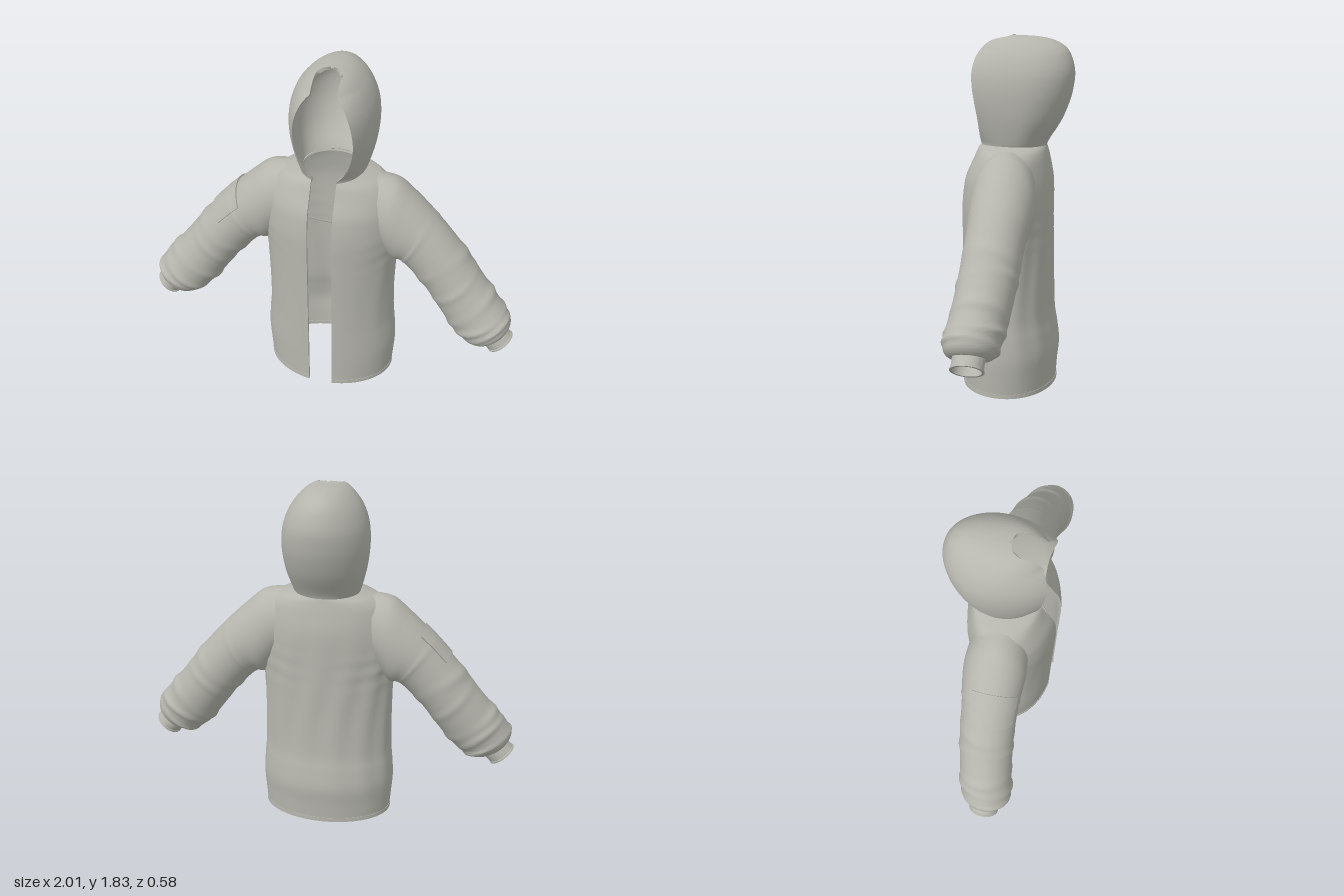
import * as THREE from 'three';
import { toCreasedNormals } from 'three/addons/utils/BufferGeometryUtils.js';

const cloth = new THREE.MeshStandardMaterial({ color: 0xb6b6ae, side: THREE.DoubleSide });
cloth.name = 'greyCloth';

// Smooth interpolation through rows of numbers, u from 0 to 1
function sample(rows, u) {
  const s = u * (rows.length - 1);
  const i = Math.min(Math.floor(s), rows.length - 2);
  const f = s - i;
  const at = (k) => rows[Math.max(0, Math.min(rows.length - 1, k))];
  const [p, a, b, n] = [at(i - 1), at(i), at(i + 1), at(i + 2)];
  return a.map((v, k) => v + 0.5 * f * (b[k] - p[k]
    + f * (2 * p[k] - 5 * v + 4 * b[k] - n[k] + f * (3 * (v - b[k]) + n[k] - p[k]))));
}

// Skin a list of point loops
function loft(rings, { closed = true, flip = false, crease = 0.8 } = {}) {
  const n = rings[0].length;
  const index = [];
  for (let i = 0; i < rings.length - 1; i++) {
    for (let j = 0; j < (closed ? n : n - 1); j++) {
      const k = (j + 1) % n;
      const [a, b, c, d] = [i * n + j, i * n + k, (i + 1) * n + k, (i + 1) * n + j];
      if (flip) index.push(a, c, b, a, d, c);
      else index.push(a, b, c, a, c, d);
    }
  }
  const geo = new THREE.BufferGeometry();
  geo.setAttribute('position', new THREE.Float32BufferAttribute(rings.flat(2), 3));
  geo.setIndex(index);
  return toCreasedNormals(geo, crease);
}

function addMesh(parent, name, geo) {
  const mesh = new THREE.Mesh(geo, cloth);
  mesh.name = name;
  parent.add(mesh);
  return mesh;
}

const bump = (x, centre, width) => Math.exp(-(((x - centre) / width) ** 2));

// Half width of the front opening: a straight gap below, an oval for the face
function gap(y) {
  const q = 1 - ((y - 1.52) / 0.26) ** 2;
  return Math.max(0.065, q > 0 ? 0.15 * Math.sqrt(q) : 0);
}

// Loop round the body: outer face one way, lining back the other way
function shellRing([y, rx, ze, zb, zm], thick, fold = () => 0, drop = 0) {
  const N = 72;
  const layer = (t) => {
    const r = Math.max(rx - t, rx * 0.6);
    const w = Math.min(gap(y), r * 0.9);
    const a0 = Math.asin(w / r);
    const front = (ze - zm) / Math.cos(Math.asin(Math.min(0.9, gap(y) / rx))) - t;
    const back = Math.max(zm - zb - t, (zm - zb) * 0.6);
    return Array.from({ length: N + 1 }, (_, j) => {
      const a = a0 + (j / N) * 2 * (Math.PI - a0);
      const c = Math.cos(a);
      const f = 1 + fold(a, y) * Math.sin((Math.PI * j) / N);
      return [r * Math.sin(a) * f, y - (t > 0 ? drop : 0), zm + c * (c > 0 ? front : back) * f];
    });
  };
  return [...layer(0), ...layer(thick).reverse()];
}

// y, half width, front edge z, back z, middle z
const BODY = [
  [0, 0.345, 0.285, -0.2, 0.03], [0.1, 0.354, 0.285, -0.207, 0.03], [0.2, 0.36, 0.285, -0.216, 0.03],
  [0.3, 0.354, 0.285, -0.205, 0.03], [0.4, 0.345, 0.285, -0.19, 0.03], [0.6, 0.343, 0.285, -0.184, 0.03],
  [0.8, 0.348, 0.286, -0.184, 0.03], [0.95, 0.358, 0.286, -0.185, 0.03], [1.05, 0.352, 0.277, -0.185, 0.03],
  [1.12, 0.34, 0.262, -0.18, 0.03], [1.2, 0.31, 0.225, -0.165, 0.02], [1.245, 0.265, 0.205, -0.155, 0.02],
  [1.265, 0.205, 0.195, -0.15, 0.02], [1.275, 0.165, 0.185, -0.145, 0.02],
];
const HOOD = [
  [1.262, 0.165, 0.183, -0.145, 0], [1.3, 0.18, 0.185, -0.162, -0.01], [1.4, 0.206, 0.19, -0.225, -0.03],
  [1.5, 0.219, 0.205, -0.267, -0.04], [1.58, 0.219, 0.217, -0.286, -0.04], [1.65, 0.207, 0.22, -0.291, -0.035],
  [1.72, 0.178, 0.205, -0.275, -0.02], [1.77, 0.141, 0.175, -0.245, 0], [1.805, 0.1, 0.125, -0.185, 0.02],
  [1.823, 0.055, 0.05, -0.1, 0.03], [1.829, 0.01, 0.032, 0.01, 0.03],
];

// Vertical folds, strongest at the back, plus drag lines from the armpits
function bodyFold(a, y) {
  const hang = bump(y, 0.6, 0.4);
  const back = 0.5 - 0.5 * Math.cos(a);
  const drag = Math.abs(Math.sin(a)) * bump(y, 0.87, 0.1) * Math.sin(y * 70 + Math.abs(Math.cos(a)) * 5);
  return hang * (0.006 + 0.012 * back) * Math.sin(a * 13 + 2 * Math.sin(y * 4)) + 0.012 * drag;
}

// Upper edge x, y; lower edge x, y; middle z; half depth
const SLEEVE = [
  [0.24, 1.262, 0.27, 0.87, 0.025, 0.15], [0.34, 1.243, 0.31, 0.81, 0.025, 0.16],
  [0.425, 1.175, 0.34, 0.785, 0.025, 0.16], [0.52, 1.085, 0.375, 0.785, 0.027, 0.152],
  [0.62, 0.98, 0.42, 0.75, 0.033, 0.145], [0.72, 0.86, 0.5, 0.665, 0.04, 0.142],
  [0.8, 0.755, 0.57, 0.57, 0.05, 0.14], [0.88, 0.655, 0.645, 0.47, 0.065, 0.138],
  [0.95, 0.57, 0.715, 0.395, 0.08, 0.135], [0.984, 0.505, 0.78, 0.355, 0.088, 0.122],
  [0.972, 0.455, 0.83, 0.362, 0.09, 0.09], [0.95, 0.455, 0.842, 0.37, 0.09, 0.075],
];
const FOLDS = [[0.3, 0.012, 0.004], [0.44, 0.02, 0.007], [0.52, 0.016, 0.006],
  [0.64, 0.02, 0.01], [0.71, 0.018, 0.011], [0.78, 0.018, 0.012]];

function sleevePoint(side, u, a, lift = 0) {
  const [ux, uy, lx, ly, z, h] = sample(SLEEVE, u);
  const r = Math.hypot(ux - lx, uy - ly) / 2;
  let out = lift;
  for (const [c, w, size] of FOLDS) {
    out += size * bump(u + 0.015 * Math.sin(a + c * 40 + side), c, w) * (0.6 + 0.4 * Math.cos(a * 2 + c * 30));
  }
  const c = Math.cos(a) * (1 + out / r);
  return [side * ((ux + lx) / 2 + (c * (ux - lx)) / 2), (uy + ly) / 2 + (c * (uy - ly)) / 2,
    z + Math.sin(a) * (h + out)];
}

function makeSleeve(side, name) {
  const group = new THREE.Group();
  group.name = name;
  const flip = side < 0;
  const circle = (n, f) => Array.from({ length: n }, (_, j) => f((j / n) * Math.PI * 2));
  const rings = Array.from({ length: 111 }, (_, i) => circle(48, (a) => sleevePoint(side, i / 110, a)));
  addMesh(group, name + 'Cloth', loft(rings, { flip, crease: 1.2 }));

  // Cuff: outside, lip, then lining
  const axis = [0.048, -0.048];
  const cuff = [[0, 0.073], [0.85, 0.073], [0.88, 0.077], [1, 0.077], [1, 0.066], [-0.3, 0.064]];
  addMesh(group, name + 'Cuff', loft(cuff.map(([s, r]) => circle(40, (a) => [
    side * (0.896 + s * axis[0] + r * 0.77 * Math.cos(a)),
    0.412 + s * axis[1] + r * 0.64 * Math.cos(a),
    0.09 + r * 1.04 * Math.sin(a),
  ])), { flip, crease: 0.6 }));
  return group;
}

export function createModel() {
  const jacket = new THREE.Group();
  jacket.name = 'hoodedJacket';

  // Body
  const bodyRings = Array.from({ length: 91 }, (_, i) => shellRing(sample(BODY, i / 90), 0.014, bodyFold));
  addMesh(jacket, 'body', loft(bodyRings));

  // Hem band, closed underneath and above
  const hemRow = (y) => [y, 0.349, 0.288, -0.204, 0.03];
  addMesh(jacket, 'hem', loft([[0, 0.0001], [0, 0.02], [0.022, 0.02], [0.022, 0.0001]]
    .map(([y, t]) => shellRing(hemRow(y), t))));

  // Hood
  const hoodRings = Array.from({ length: 71 }, (_, i) => {
    const row = sample(HOOD, i / 70);
    const drop = 0.014 * THREE.MathUtils.smoothstep(row[0], 1.6, 1.8);
    return shellRing(row, 0.016, undefined, drop);
  });
  addMesh(jacket, 'hood', loft(hoodRings));

  // Sleeves
  jacket.add(makeSleeve(1, 'leftSleeve'), makeSleeve(-1, 'rightSleeve'));

  // Pocket on the right upper arm, raised with turned-in edges
  const pocketRings = [];
  for (let i = 0; i <= 14; i++) {
    const u = 0.262 + 0.125 * Math.min(1, Math.max(0, (i - 1) / 12));
    pocketRings.push(Array.from({ length: 23 }, (_, j) => {
      const a = -0.6 + 1.7 * Math.min(1, Math.max(0, (j - 1) / 20));
      const edge = i === 0 || i === 14 || j === 0 || j === 22;
      return sleevePoint(-1, u, a, edge ? -0.003 : 0.008);
    }));
  }
  addMesh(jacket, 'armPocket', loft(pocketRings, { closed: false, flip: true }));

  // Thin cord across the opening
  const from = new THREE.Vector3(-0.07, 1.1, 0.255);
  const to = new THREE.Vector3(0.07, 1.02, 0.165);
  addMesh(jacket, 'cord', new THREE.TubeGeometry(new THREE.LineCurve3(from, to), 1, 0.004, 8));

  return jacket;
}
